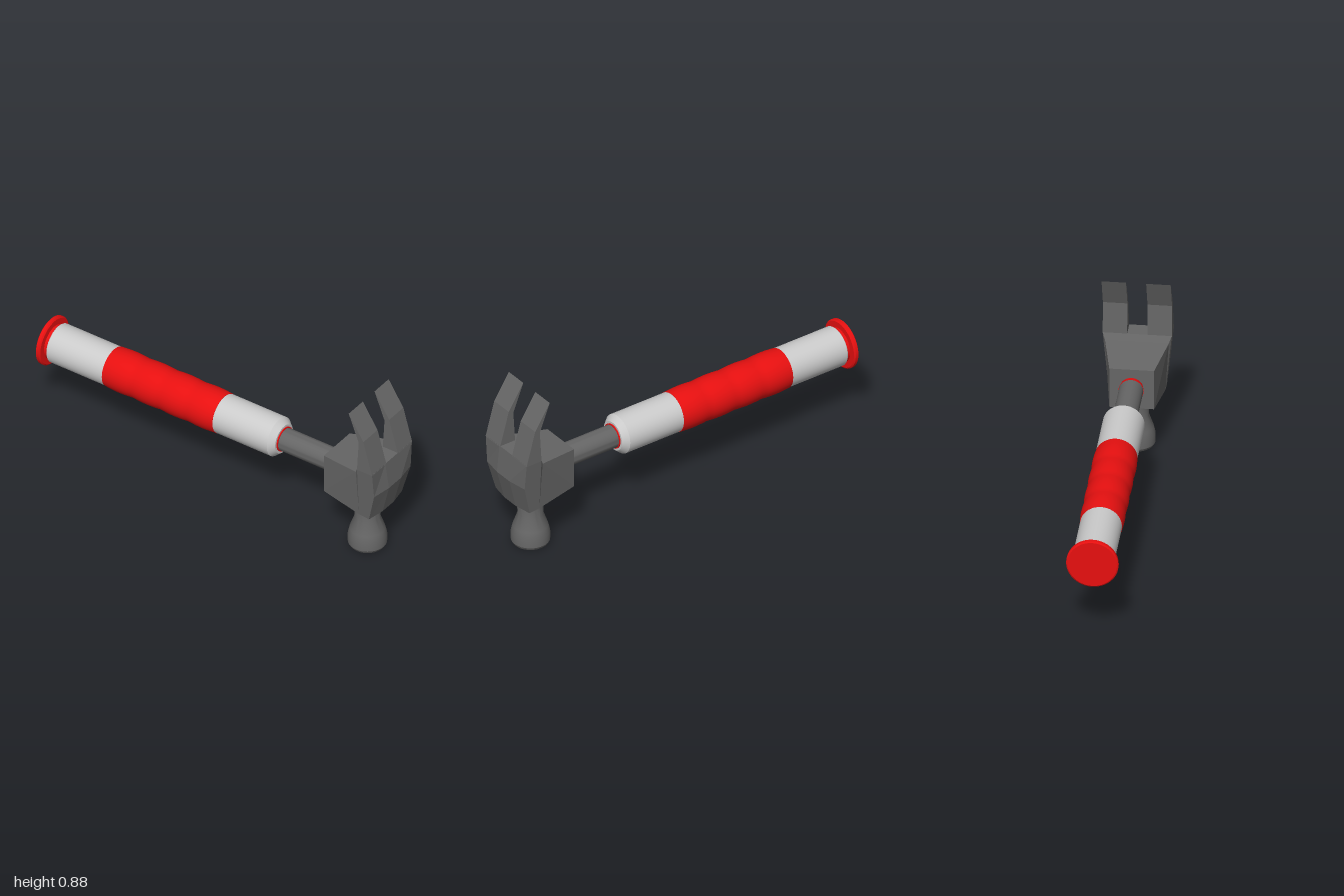
import * as THREE from 'three';
import { toCreasedNormals } from 'three/addons/utils/BufferGeometryUtils.js';

const AXIS_Y = 0.41;
const paint = (color) => new THREE.MeshStandardMaterial({ color, side: THREE.DoubleSide });

export function createModel() {
  const model = new THREE.Group();
  const steel = paint(0x666666);
  const red = paint(0xe81010);
  const pale = new THREE.MeshStandardMaterial({ color: 0xcccccc });

  const add = (name, geometry, material, parent = model) => {
    const mesh = new THREE.Mesh(geometry, material);
    mesh.name = name;
    parent.add(mesh);
    return mesh;
  };

  // Turned shape from [radius, height] pairs, smooth with sharp rims
  const turned = (profile) => toCreasedNormals(
    new THREE.LatheGeometry(profile.map(([r, h]) => new THREE.Vector2(r, h)), 40), 0.5);

  // Turned part lying along the handle axis: pairs are [radius, x]
  const handlePart = (name, profile, material) => {
    const g = turned(profile);
    g.rotateZ(-Math.PI / 2);
    g.translate(0, AXIS_Y, 0);
    return add(name, g, material);
  };

  // Handle
  handlePart('endCap', [[0, -1], [0.118, -1], [0.125, -0.995], [0.125, -0.98], [0.118, -0.974],
    [0.088, -0.974], [0.088, -0.95], [0, -0.95]], red);
  handlePart('handleTube', [[0, -0.954], [0.097, -0.954], [0.1, -0.95], [0.1, 0.325],
    [0.074, 0.355], [0, 0.355]], pale);

  // Grip with four shallow swells
  const grip = [[0.099, -0.63]];
  for (let i = 0; i <= 32; i++) {
    const t = i / 32;
    grip.push([0.1015 + 0.0045 * Math.abs(Math.sin(t * 4 * Math.PI)), -0.63 + 0.64 * t]);
  }
  grip.push([0.099, 0.01]);
  handlePart('grip', grip, red);

  handlePart('frontCollar', [[0, 0.34], [0.063, 0.34], [0.063, 0.361], [0, 0.361]], red);
  handlePart('shaft', [[0, 0.35], [0.058, 0.35], [0.058, 0.64], [0, 0.64]], steel);
  handlePart('headCollar', [[0, 0.636], [0.06, 0.636], [0.053, 0.67], [0, 0.67]], red);

  // Head
  const head = new THREE.Group();
  head.name = 'head';
  model.add(head);

  // Solid from a side outline of [x, y, halfWidth], widened per corner;
  // the striking side bows out by `bulge` across the middle
  const wideSolid = (outline, bulge = 0) => {
    const shape = new THREE.Shape(outline.map(([x, y]) => new THREE.Vector2(x, y)));
    const g = new THREE.ExtrudeGeometry(shape, { depth: 2, steps: 3, bevelEnabled: false });
    g.translate(0, 0, -1);
    const p = g.attributes.position;
    for (let i = 0; i < p.count; i++) {
      const x = p.getX(i), y = p.getY(i), z = p.getZ(i);
      const corner = outline.find((c) => Math.hypot(c[0] - x, c[1] - y) < 1e-4);
      p.setZ(i, z * corner[2]);
      if (Math.abs(z) < 0.9 && x > 0.93 && y < 0.5) p.setX(i, x + bulge);
    }
    g.computeVertexNormals();
    return g;
  };

  add('headBlock', wideSolid([[0.66, 0.3, 0.107], [0.885, 0.278, 0.136],
    [0.877, 0.537, 0.152], [0.66, 0.51, 0.107]]), steel, head);
  add('clawRoot', wideSolid([[0.885, 0.278, 0.136], [0.942, 0.272, 0.136], [0.982, 0.43, 0.151],
    [0.98, 0.57, 0.165], [0.893, 0.57, 0.165], [0.877, 0.537, 0.152]], 0.016), steel, head);

  // Two curved claws with the nail slot between them
  const clawShape = new THREE.Shape([[0.893, 0.565], [0.981, 0.565], [0.93, 0.745],
    [0.845, 0.878], [0.903, 0.73]].map(([x, y]) => new THREE.Vector2(x, y)));
  for (const side of [-1, 1]) {
    const g = new THREE.ExtrudeGeometry(clawShape, { depth: 0.117, bevelEnabled: false });
    g.translate(0, 0, side > 0 ? 0.048 : -0.165);
    add(side > 0 ? 'clawFront' : 'clawBack', g, steel, head);
  }

  // Neck and striking face
  const poll = turned([[0, 0], [0.074, 0], [0.086, 0.006], [0.094, 0.02], [0.094, 0.063],
    [0.085, 0.1], [0.062, 0.165], [0.064, 0.24], [0.118, 0.278], [0.118, 0.29], [0, 0.29]]);
  poll.translate(0.838, 0, 0);
  add('strikingPoll', poll, steel, head);

  return model;
}
